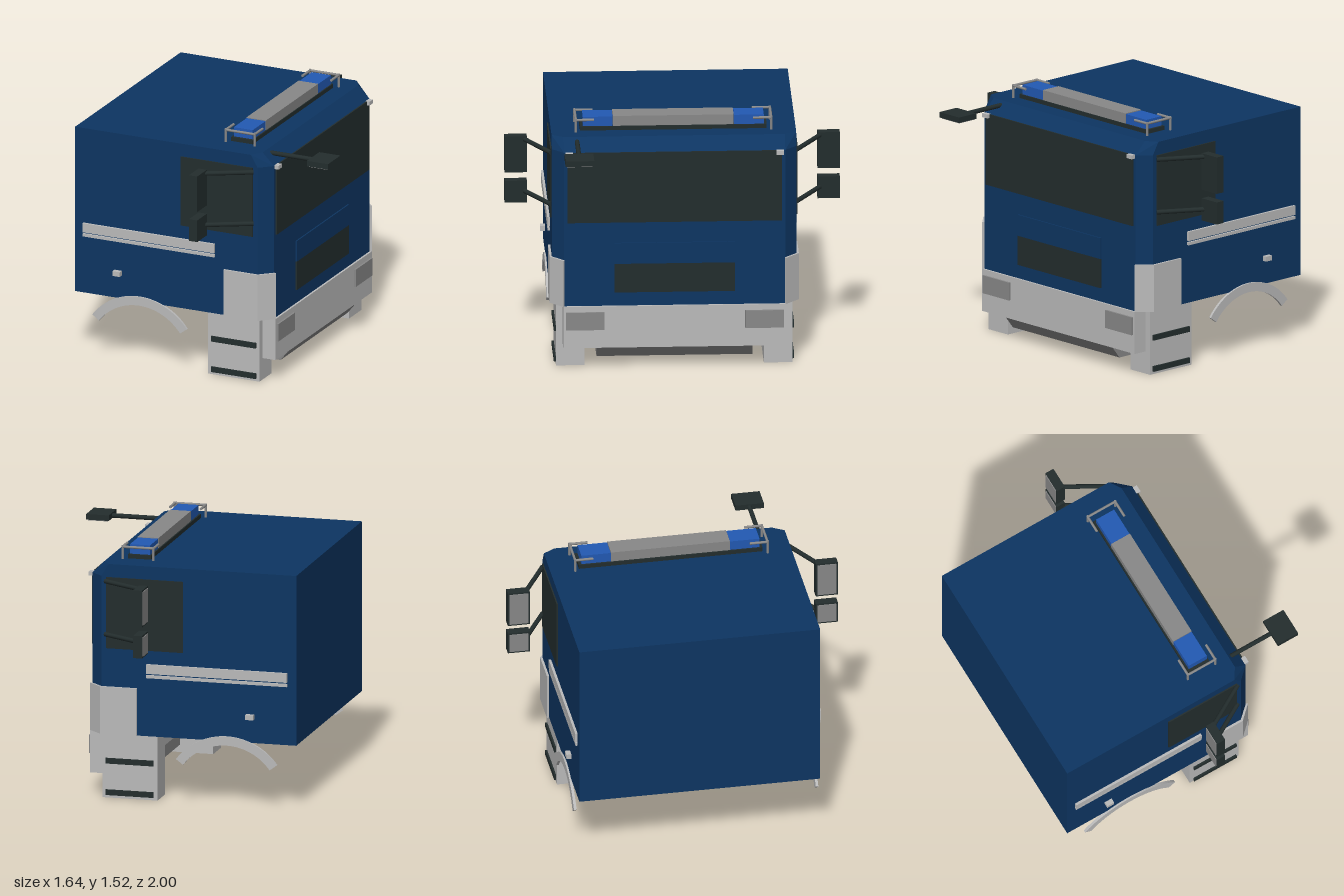
import * as THREE from 'three';
import { ConvexGeometry } from 'three/addons/geometries/ConvexGeometry.js';

const V = (x, y, z) => new THREE.Vector3(x, y, z);

export function createModel() {
  const model = new THREE.Group();
  model.name = 'truckCab';
  const mat = (name, color) => {
    const m = new THREE.MeshStandardMaterial({ color });
    m.name = name;
    return m;
  };
  const navy = mat('navyPaint', 0x0d3562);
  const grey = mat('lightGrey', 0xbababa);
  const mid = mat('midGrey', 0x888888);
  const dark = mat('darkGlass', 0x232d2d);
  const blue = mat('beaconBlue', 0x2259b3);

  const add = (name, geo, m) => {
    const mesh = new THREE.Mesh(geo, m);
    mesh.name = name;
    model.add(mesh);
    return mesh;
  };
  // Box from its limits on each axis
  const box = (name, m, x0, x1, y0, y1, z0, z1) => {
    const g = new THREE.BoxGeometry(x1 - x0, y1 - y0, Math.abs(z1 - z0));
    g.translate((x0 + x1) / 2, (y0 + y1) / 2, (z0 + z1) / 2);
    return add(name, g, m);
  };
  // Round bar between two points
  const bar = (name, m, a, b, r) => {
    const d = b.clone().sub(a);
    const mesh = add(name, new THREE.CylinderGeometry(r, r, d.length(), 10), m);
    mesh.position.copy(a).add(b).multiplyScalar(0.5);
    mesh.quaternion.setFromUnitVectors(V(0, 1, 0), d.normalize());
    return mesh;
  };
  const extrude = (shape, depth) =>
    new THREE.ExtrudeGeometry(shape, { depth, bevelEnabled: false, curveSegments: 16 });
  const polygon = (pts) => new THREE.Shape(pts.map(([x, y]) => new THREE.Vector2(x, y)));

  // Cab shell with chamfered front edges
  const hull = [];
  for (const s of [-1, 1]) {
    hull.push(V(-0.82, 0.4, s * 0.73), V(-0.82, 1.44, s * 0.73), V(0.385, 0.4, s * 0.73),
      V(0.46, 0.4, s * 0.66), V(0.46, 1.365, s * 0.66), V(0.385, 1.365, s * 0.73),
      V(0.34, 1.44, s * 0.73), V(0.385, 1.44, s * 0.66));
  }
  add('cabShell', new ConvexGeometry(hull), navy);

  // Front face
  box('windshield', dark, 0.46, 0.469, 0.925, 1.365, -0.64, 0.64);
  box('grillePanel', navy, 0.46, 0.469, 0.665, 0.795, -0.36, 0.36);
  box('grilleOpening', dark, 0.46, 0.469, 0.485, 0.665, -0.36, 0.36);
  box('bumper', grey, 0.23, 0.473, 0.14, 0.4, -0.665, 0.665);
  const lip = extrude(polygon([[0.23, 0.14], [0.23, 0.067], [0.41, 0.067], [0.468, 0.14]]), 0.93);
  lip.translate(0, 0, -0.465);
  add('bumperLip', lip, mid);

  // Parts found on both sides
  for (const s of [-1, 1]) {
    box('headlamp', mid, 0.47, 0.485, 0.255, 0.365, s * 0.42, s * 0.65);
    box('markerLamp', grey, 0.455, 0.486, 1.343, 1.367, s * 0.607, s * 0.652);
    box('sideWindow', dark, -0.12, 0.355, 0.925, 1.36, s * 0.729, s * 0.738);
    box('sideRail', grey, -0.765, 0.105, 0.785, 0.842, s * 0.729, s * 0.745);
    box('sideRailLower', grey, -0.765, 0.105, 0.758, 0.776, s * 0.729, s * 0.743);
    box('doorHandle', grey, -0.56, -0.512, 0.545, 0.575, s * 0.729, s * 0.76);

    // Corner panel wrapping the front chamfer
    const corner = extrude(polygon([[0.165, -s * 0.725], [0.165, -s * 0.744], [0.39, -s * 0.744],
      [0.474, -s * 0.664], [0.455, -s * 0.655], [0.38, -s * 0.725]]), 0.29);
    corner.rotateX(-Math.PI / 2).translate(0, 0.4, 0);
    add('cornerPanel', corner, grey);

    // Entry steps
    box('stepBox', grey, 0.045, 0.385, 0.003, 0.4, s * 0.535, s * 0.705);
    for (const y of [0.02, 0.213]) {
      box('stepTread', dark, 0.07, 0.365, y, y + 0.033, s * 0.7, s * 0.717);
    }

    // Wheel arch trim
    const a = 0.637;
    const arch = new THREE.Shape();
    arch.absarc(0, 0, 0.388, a, Math.PI - a, false);
    arch.absarc(0, 0, 0.333, Math.PI - a, a, true);
    const archGeo = extrude(arch, 0.016);
    archGeo.translate(-0.39, 0.043, s * 0.733 - 0.008);
    add('wheelArch', archGeo, grey);

    // Side mirrors: head, glass facing back, and arm
    for (const [y0, y1, armY] of [[1.13, 1.355, 1.335], [0.94, 1.077, 1.01]]) {
      box('mirrorHead', dark, 0.06, 0.115, y0, y1, s * 0.867, s);
      box('mirrorGlass', mid, 0.055, 0.061, y0 + 0.01, y1 - 0.01, s * 0.877, s * 0.99);
      bar('mirrorArm', dark, V(0.36, armY, s * 0.735), V(0.09, armY, s * 0.89), 0.014);
    }

    // Beacon and its guard rail
    box('beacon', blue, 0.137, 0.262, 1.463, 1.523, s * 0.362, s * 0.54);
    const y = 1.515, r = 0.008;
    for (const x of [0.105, 0.295]) {
      bar('guardPost', mid, V(x, 1.44, s * 0.583), V(x, y + r, s * 0.583), r);
      bar('guardEnd', mid, V(x, y, s * 0.583), V(x, y, s * 0.475), r);
    }
    bar('guardRail', mid, V(0.1, y, s * 0.583), V(0.3, y, s * 0.583), r);
  }

  // Roof light bar
  box('lightBarBase', dark, 0.127, 0.27, 1.438, 1.465, -0.557, 0.557);
  box('lightBarCentre', mid, 0.135, 0.264, 1.463, 1.527, -0.36, 0.36);

  // Front mirror on a forward arm
  bar('frontMirrorArm', dark, V(0.4, 1.415, 0.58), V(0.7, 1.415, 0.58), 0.014);
  box('frontMirrorHead', dark, 0.68, 0.82, 1.4, 1.434, 0.495, 0.667);
  box('frontMirrorGlass', mid, 0.69, 0.81, 1.394, 1.401, 0.505, 0.657);

  return model;
}
